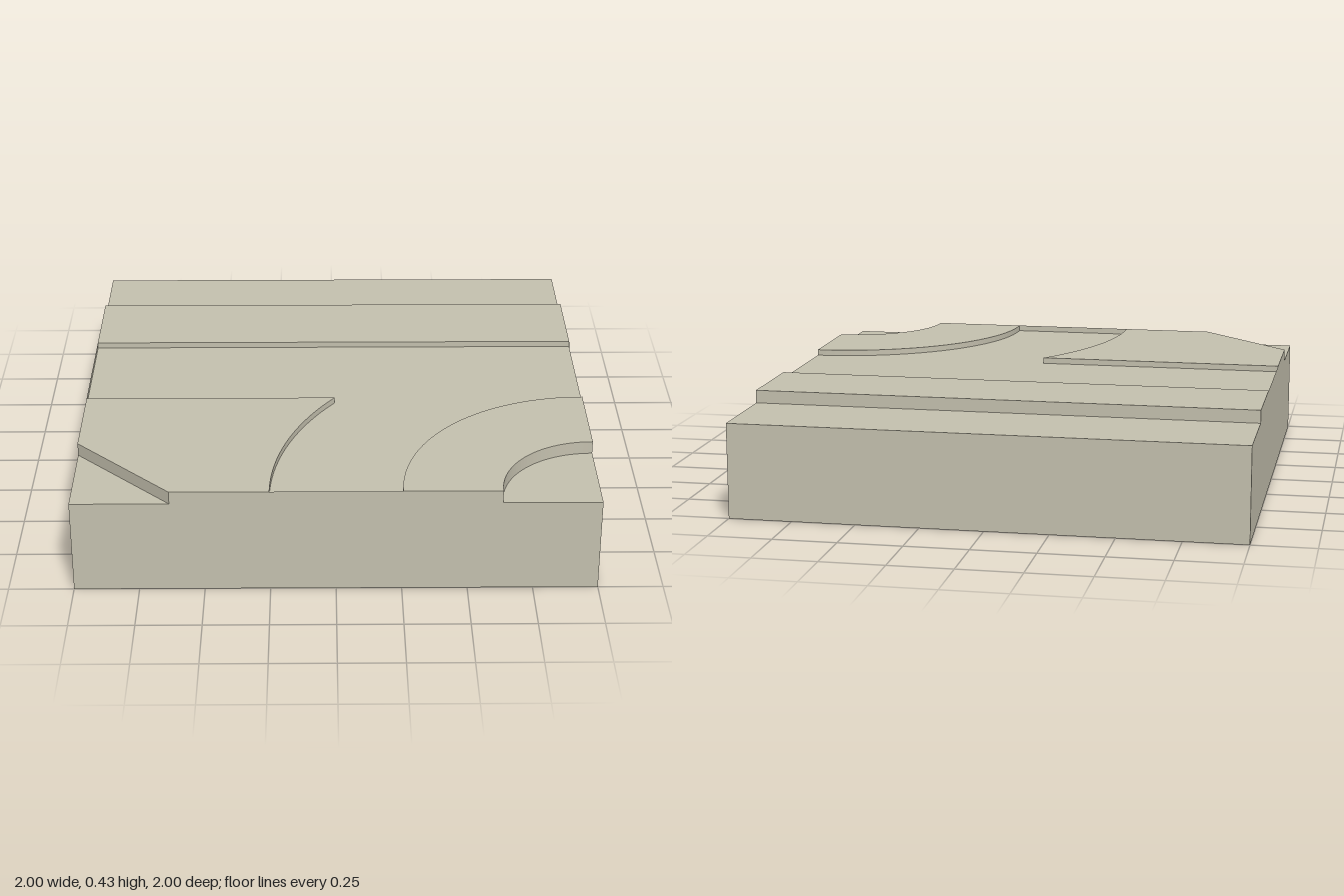
import * as THREE from 'three';

const LOW = 0.375, ROAD = 0.402, TOP = 0.426;
const BACK = -0.255, FRONT = 0.25; // road edges in z
const FLARE = Math.PI + Math.atan2(0.75, 1); // end angle of the outer bend

export function createModel() {
  const group = new THREE.Group();
  const material = new THREE.MeshStandardMaterial({ color: 0xc4c0ae, flatShading: true });
  const thin = material.clone();
  thin.side = THREE.DoubleSide;

  const add = (name, geometry, mat = material) => {
    const mesh = new THREE.Mesh(geometry, mat);
    mesh.name = name;
    group.add(mesh);
    return mesh;
  };
  // Plan outlines are drawn in (x, z) and extruded upward
  const slab = (name, shape, bottom, top) => {
    const g = new THREE.ExtrudeGeometry(shape, { depth: top - bottom, bevelEnabled: false, curveSegments: 16 });
    g.rotateX(Math.PI / 2).translate(0, top, 0);
    return add(name, g);
  };
  const outline = (...pts) => new THREE.Shape(pts.map(([x, z]) => new THREE.Vector2(x, z)));

  // Ground block
  add('base', new THREE.BoxGeometry(2, LOW, 2).translate(0, LOW / 2, 0));

  // Recessed road: straight run with a branch that bends to the front
  const road = outline([-1, BACK], [1, BACK], [1, FRONT]);
  road.absarc(1, 1, 0.75, Math.PI * 1.5, Math.PI, true);
  road.lineTo(-0.25, 1);
  road.absarc(1, 1, 1.25, Math.PI, FLARE, false);
  road.lineTo(-1, FRONT);
  slab('road', road, LOW, ROAD);

  // Straight pavement along the back
  slab('backPavement', outline([-1, -0.625], [1, -0.625], [1, BACK], [-1, BACK]), LOW, TOP);

  // Pavement with a cut corner and a curved kerb
  const cut = outline([-0.625, 1], [-1, 0.625], [-1, FRONT], [0, FRONT]);
  cut.absarc(1, 1, 1.25, FLARE, Math.PI, true);
  slab('cutCornerPavement', cut, LOW, TOP);

  // Quarter ring pavement around the front corner
  const ring = new THREE.Shape();
  ring.absarc(1, 1, 0.75, Math.PI, Math.PI * 1.5, false);
  ring.absarc(1, 1, 0.375, Math.PI * 1.5, Math.PI, true);
  slab('cornerPavement', ring, LOW, TOP);

  // Thin upstands closing two of the road ends
  const h = TOP - ROAD, mid = (TOP + ROAD) / 2;
  add('frontRim', new THREE.PlaneGeometry(0.5, h).translate(0, mid, 1), thin);
  add('sideRim', new THREE.PlaneGeometry(FRONT - BACK, h)
    .rotateY(-Math.PI / 2).translate(-1, mid, (FRONT + BACK) / 2), thin);

  // Small sloped sliver at the open road end
  const sliver = new THREE.ShapeGeometry(outline([-BACK, ROAD], [-BACK, TOP], [0.22, ROAD]));
  add('kerbSliver', sliver.rotateY(Math.PI / 2).translate(1, 0, 0), thin);

  return group;
}
